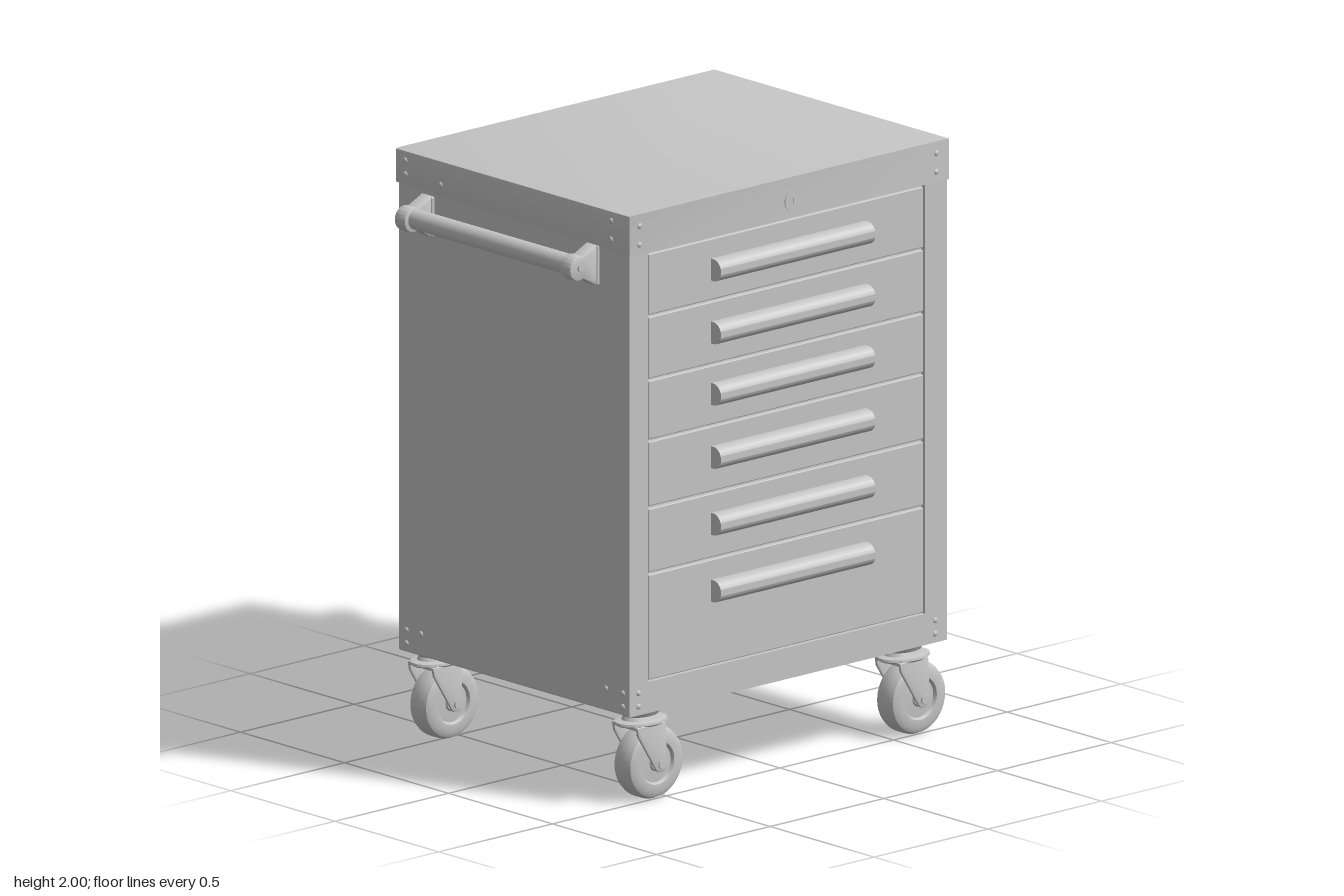
import * as THREE from 'three';
import { RoundedBoxGeometry } from 'three/addons/geometries/RoundedBoxGeometry.js';
import { toCreasedNormals } from 'three/addons/utils/BufferGeometryUtils.js';

const grey = new THREE.MeshStandardMaterial({ color: 0xc6c6c6 });
grey.name = 'painted grey steel';

function add(parent, name, geometry, x = 0, y = 0, z = 0) {
  const mesh = new THREE.Mesh(geometry, grey);
  mesh.name = name;
  mesh.position.set(x, y, z);
  parent.add(mesh);
  return mesh;
}

function polygon(points) {
  return new THREE.Shape(points.map(([x, y]) => new THREE.Vector2(x, y)));
}

// Extrusion centred on its own depth, with a small optional bevel
function slab(shape, depth, bevel = 0) {
  const g = new THREE.ExtrudeGeometry(shape, {
    depth: depth - 2 * bevel, bevelEnabled: bevel > 0, bevelSize: bevel,
    bevelThickness: bevel, bevelOffset: -bevel, bevelSegments: 2, curveSegments: 12,
  });
  g.translate(0, 0, -depth / 2 + bevel);
  return toCreasedNormals(g, 0.6);
}

function lathe(points, segments = 32) {
  const g = new THREE.LatheGeometry(points.map(([r, y]) => new THREE.Vector2(r, y)), segments);
  return toCreasedNormals(g, 0.6);
}

function makeCabinet() {
  const cabinet = new THREE.Group();
  cabinet.name = 'cabinet';
  add(cabinet, 'body', new RoundedBoxGeometry(1.395, 1.59, 1.095, 2, 0.006), -0.002, 1.105, -0.022);

  // Front frame around the drawer opening
  const frame = polygon([[-0.7, 0.31], [0.695, 0.31], [0.695, 1.9], [-0.7, 1.9]]);
  frame.holes.push(polygon([[-0.62, 0.415], [-0.62, 1.86], [0.6, 1.86], [0.6, 0.415]]));
  add(cabinet, 'frontFrame', slab(frame, 0.02), 0, 0, 0.533);

  // Lid with a slightly sloping lower edge, extruded across the width
  const profile = polygon([[-0.548, 1.862], [0.578, 1.885], [0.578, 2], [-0.548, 2]]);
  add(cabinet, 'lid', slab(profile, 1.41, 0.007)).rotation.y = Math.PI / 2;

  // Round lock in the lid edge
  const lock = add(cabinet, 'lock', new THREE.CylinderGeometry(0.038, 0.038, 0.008, 32), 0.015, 1.92, 0.547);
  lock.rotation.x = Math.PI / 2;
  add(cabinet, 'keySlot', new THREE.BoxGeometry(0.007, 0.026, 0.004), 0.015, 1.92, 0.552);
  return cabinet;
}

// Each drawer: bottom, top, height of its pull
function makeDrawers() {
  const drawers = new THREE.Group();
  drawers.name = 'drawers';
  const rows = [
    [1.65, 1.855, 1.752], [1.435, 1.642, 1.54], [1.23, 1.427, 1.333],
    [1.005, 1.222, 1.12], [0.782, 0.996, 0.895], [0.42, 0.774, 0.67],
  ];
  const pull = new THREE.Shape();
  pull.moveTo(0, -0.037);
  pull.lineTo(0.014, -0.037);
  pull.absarc(0.014, 0, 0.037, -Math.PI / 2, Math.PI / 2, false);
  pull.lineTo(0, 0.037);
  const pullGeometry = slab(pull, 0.68);
  for (const [low, high, y] of rows) {
    add(drawers, 'drawerFront', new RoundedBoxGeometry(1.208, high - low, 0.03, 2, 0.004),
      -0.01, (low + high) / 2, 0.526);
    add(drawers, 'drawerPull', pullGeometry, 0, y, 0.538).rotation.y = -Math.PI / 2;
  }
  // Turn the rounded side of every pull to the front
  return drawers;
}

// Push handle on one side, built for +x
function makeHandle(side) {
  const handle = new THREE.Group();
  handle.name = side > 0 ? 'leftHandle' : 'rightHandle';
  const bracket = new THREE.Shape();
  bracket.moveTo(0.697, 1.74);
  bracket.lineTo(0.712, 1.738);
  bracket.lineTo(0.765, 1.769);
  bracket.absarc(0.785, 1.808, 0.042, -2, 2, false);
  bracket.lineTo(0.712, 1.872);
  bracket.lineTo(0.697, 1.872);
  for (const z of [0.37, -0.425]) {
    add(handle, 'handleBracket', slab(bracket, 0.052, 0.006), 0, 0, z);
    const foot = add(handle, 'bracketFoot', new RoundedBoxGeometry(0.014, 0.134, 0.06, 2, 0.005), 0.702, 1.805, z);
    foot.position.x = 0.705;
    add(handle, 'bracketBolt', new THREE.CylinderGeometry(0.014, 0.014, 0.062, 16), 0.78, 1.81, z)
      .rotation.x = Math.PI / 2;
  }
  add(handle, 'handleBar', new THREE.CylinderGeometry(0.034, 0.034, 0.8, 24), 0.778, 1.81, -0.027)
    .rotation.x = Math.PI / 2;
  // A half turn mirrors the bracket; z is shifted back to line up
  if (side < 0) {
    handle.rotation.y = Math.PI;
    handle.position.z = -0.055;
  }
  return handle;
}

// Trailing caster with its origin on the floor below the axle
function makeCaster(x, z) {
  const caster = new THREE.Group();
  caster.name = 'caster';
  caster.position.set(x, 0, z);
  const wheel = lathe([
    [0, -0.043], [0.024, -0.043], [0.028, -0.036], [0.066, -0.034], [0.072, -0.045], [0.1, -0.046],
    [0.115, -0.038], [0.122, -0.022], [0.123, 0], [0.122, 0.022], [0.115, 0.038],
    [0.1, 0.046], [0.072, 0.045], [0.066, 0.034], [0.028, 0.036], [0.024, 0.043], [0, 0.043],
  ], 40);
  add(caster, 'wheel', wheel, 0, 0.123, 0).rotation.x = Math.PI / 2;
  add(caster, 'axle', new THREE.CylinderGeometry(0.014, 0.014, 0.136, 16), 0, 0.123, 0).rotation.x = Math.PI / 2;

  const cheek = new THREE.Shape();
  cheek.moveTo(-0.105, 0.26);
  cheek.lineTo(-0.1, 0.232);
  cheek.lineTo(-0.022, 0.108);
  cheek.absarc(0, 0.12, 0.025, Math.PI + 0.5, Math.PI * 2, false);
  cheek.lineTo(0.02, 0.26);
  for (const s of [-1, 1]) add(caster, 'forkCheek', slab(cheek, 0.01, 0.002), 0, 0, s * 0.057);
  add(caster, 'forkCrown', new RoundedBoxGeometry(0.125, 0.012, 0.124, 2, 0.004), -0.043, 0.257, 0);

  // Oval swivel flange and flared neck under the cabinet
  const swivel = lathe([
    [0, 0.252], [0.09, 0.258], [0.1, 0.264], [0.098, 0.272], [0.072, 0.276],
    [0.066, 0.288], [0.08, 0.304], [0.08, 0.314], [0, 0.314],
  ]);
  add(caster, 'swivel', swivel, -0.035, 0, 0).scale.z = 0.7;
  return caster;
}

function makeRivets() {
  const rivets = new THREE.Group();
  rivets.name = 'rivets';
  const head = new THREE.SphereGeometry(0.01, 12, 8);
  const rivet = (x, y, z, axis) => { add(rivets, 'rivet', head, x, y, z).scale[axis] = 0.6; };
  // Front and back corners
  for (const x of [-0.66, 0.645]) {
    for (const y of [1.96, 1.897, 0.385, 0.34]) {
      rivet(x, y, y > 1 ? 0.547 : 0.542, 'z');
      rivet(x, y, y > 1 ? -0.577 : -0.569, 'z');
    }
  }
  for (const x of [-0.55, 0.6]) rivet(x, 1.93, -0.579, 'z');
  // Side corners
  for (const s of [-1, 1]) {
    const spots = [[0.46, 1.968], [0.46, 1.905], [-0.36, 1.92], [-0.53, 1.968], [-0.53, 1.922]];
    for (const [z, y] of spots) rivet(s * 0.705, y, z, 'x');
    for (const [z, y] of [[0.51, 0.385], [0.43, 0.385], [0.51, 0.34], [-0.46, 0.385], [-0.53, 0.385], [-0.53, 0.34]]) {
      rivet(s > 0 ? 0.695 : -0.7, y, z, 'x');
    }
  }
  return rivets;
}

export function createModel() {
  const model = new THREE.Group();
  model.name = 'toolCabinet';
  model.add(makeCabinet(), makeDrawers(), makeRivets());
  for (const side of [-1, 1]) model.add(makeHandle(side));
  for (const x of [-0.55, 0.605]) for (const z of [0.47, -0.512]) model.add(makeCaster(x, z));
  return model;
}
